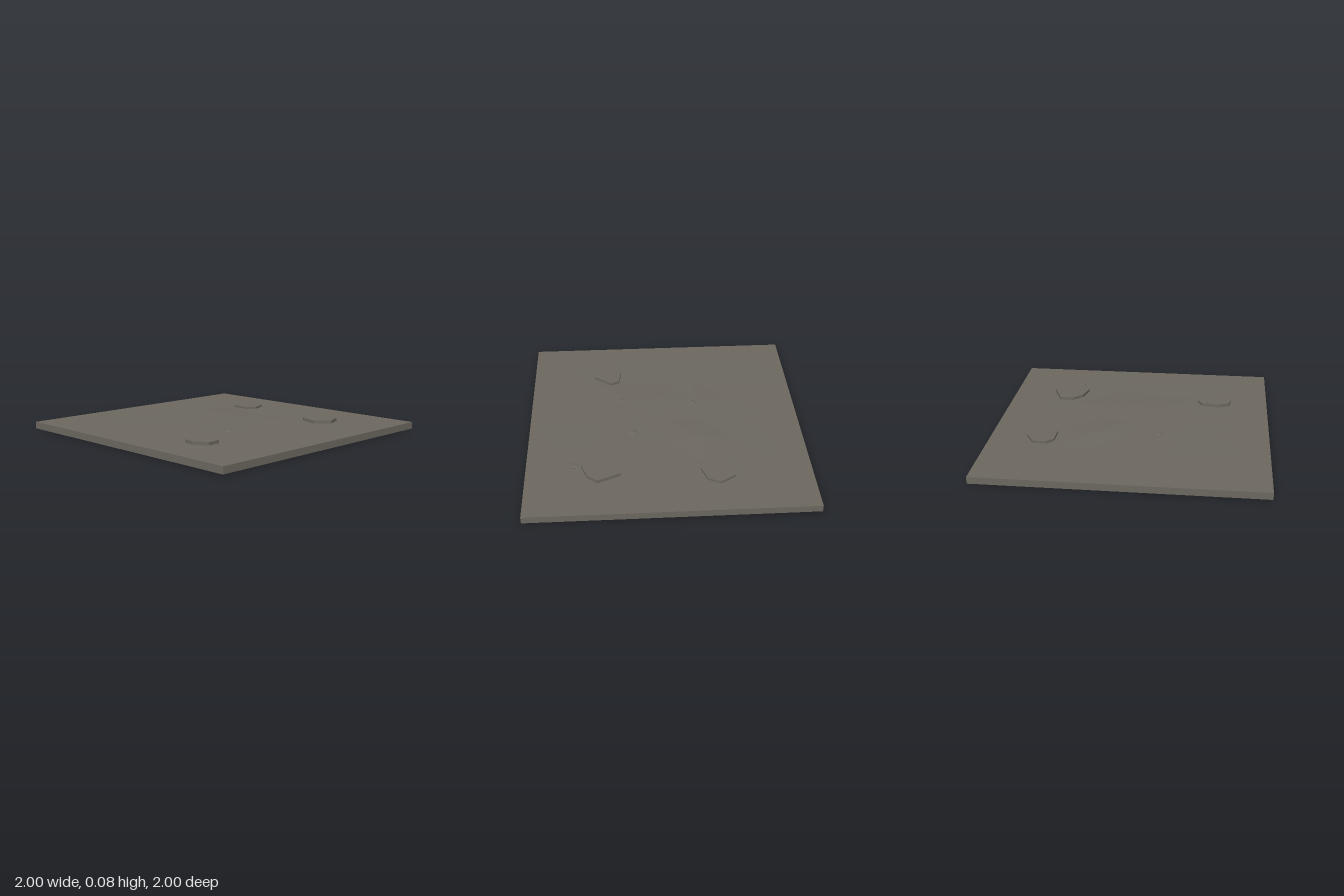
import * as THREE from 'three';

const TOP = 0.05;

export function createModel() {
  const model = new THREE.Group();
  const earth = new THREE.MeshStandardMaterial({ color: 0x6b675f, flatShading: true, side: THREE.DoubleSide });
  earth.name = 'greyEarth';

  const add = (name, geometry, parent = model) => {
    const mesh = new THREE.Mesh(geometry, earth);
    mesh.name = name;
    parent.add(mesh);
    return mesh;
  };

  // Ground: 8 x 8 grid with low bumps (thousandths above the flat rim)
  const bumps = [
    [0, 1, 0, 0, 0, 0, 0],
    [0, 3, 1, 2, 2, 0, 0],
    [0, 2, 5, 6, 15, 3, 0],
    [0, 2, 6, 6, 6, 4, 0],
    [0, 2, 11, 9, 9, 4, 0],
    [0, 1, 2, 1, 2, 2, 0],
    [0, 0, 0, 0, 1, 0, 0],
  ];
  const ground = new THREE.PlaneGeometry(2, 2, 8, 8).rotateX(-Math.PI / 2);
  const pos = ground.attributes.position;
  for (let i = 0; i < pos.count; i++) {
    const col = i % 9, row = Math.floor(i / 9);
    const inside = col > 0 && col < 8 && row > 0 && row < 8;
    const wobble = inside ? 0.025 : 0;
    pos.setXYZ(i,
      pos.getX(i) + wobble * Math.sin(col * 2.3 + row * 4.1),
      TOP + (inside ? bumps[row - 1][col - 1] / 1000 : 0),
      pos.getZ(i) + wobble * Math.cos(col * 3.7 + row * 1.9));
  }
  ground.computeVertexNormals();
  add('ground', ground);

  // Skirt: four side walls, open underneath
  const skirt = new THREE.Group();
  skirt.name = 'skirt';
  model.add(skirt);
  for (let i = 0; i < 4; i++) {
    const wall = new THREE.PlaneGeometry(2, TOP).translate(0, TOP / 2, 1).rotateY(i * Math.PI / 2);
    add('sideWall', wall, skirt);
  }

  // Flat stone slabs: outline in x, z and top height
  const slabs = [
    ['leftStone', 0.074, [[-0.72, 0.43], [-0.71, 0.35], [-0.63, 0.315], [-0.5, 0.33], [-0.465, 0.39], [-0.565, 0.525], [-0.665, 0.53]]],
    ['backStone', 0.069, [[0.53, -0.41], [0.575, -0.455], [0.675, -0.455], [0.74, -0.345], [0.7, -0.26], [0.59, -0.22], [0.525, -0.27]]],
    ['frontStone', 0.075, [[0.45, 0.4], [0.52, 0.335], [0.62, 0.335], [0.69, 0.5], [0.635, 0.57], [0.515, 0.615], [0.42, 0.52]]],
  ];
  for (const [name, top, outline] of slabs) {
    const shape = new THREE.Shape(outline.map(([x, z]) => new THREE.Vector2(x, -z)));
    const slab = new THREE.ExtrudeGeometry(shape, { depth: top - TOP, bevelEnabled: false });
    add(name, slab.rotateX(-Math.PI / 2).translate(0, TOP, 0));
  }

  // Pebbles half sunk in the ground: x, y, z, radius
  const pebbles = [
    [-0.2, 0.054, -0.22, 0.034], [-0.285, 0.055, 0.045, 0.026], [-0.25, 0.056, 0.31, 0.036],
    [0.15, 0.056, 0.245, 0.035], [0.5, 0.052, 0.66, 0.036], [-0.48, 0.053, -0.27, 0.011],
  ];
  pebbles.forEach(([x, y, z, r], i) => {
    const pebble = add('pebble', new THREE.IcosahedronGeometry(r, 0).rotateX(0.55).rotateY(i * 1.3));
    pebble.scale.y = 0.33;
    pebble.position.set(x, y, z);
  });

  return model;
}
